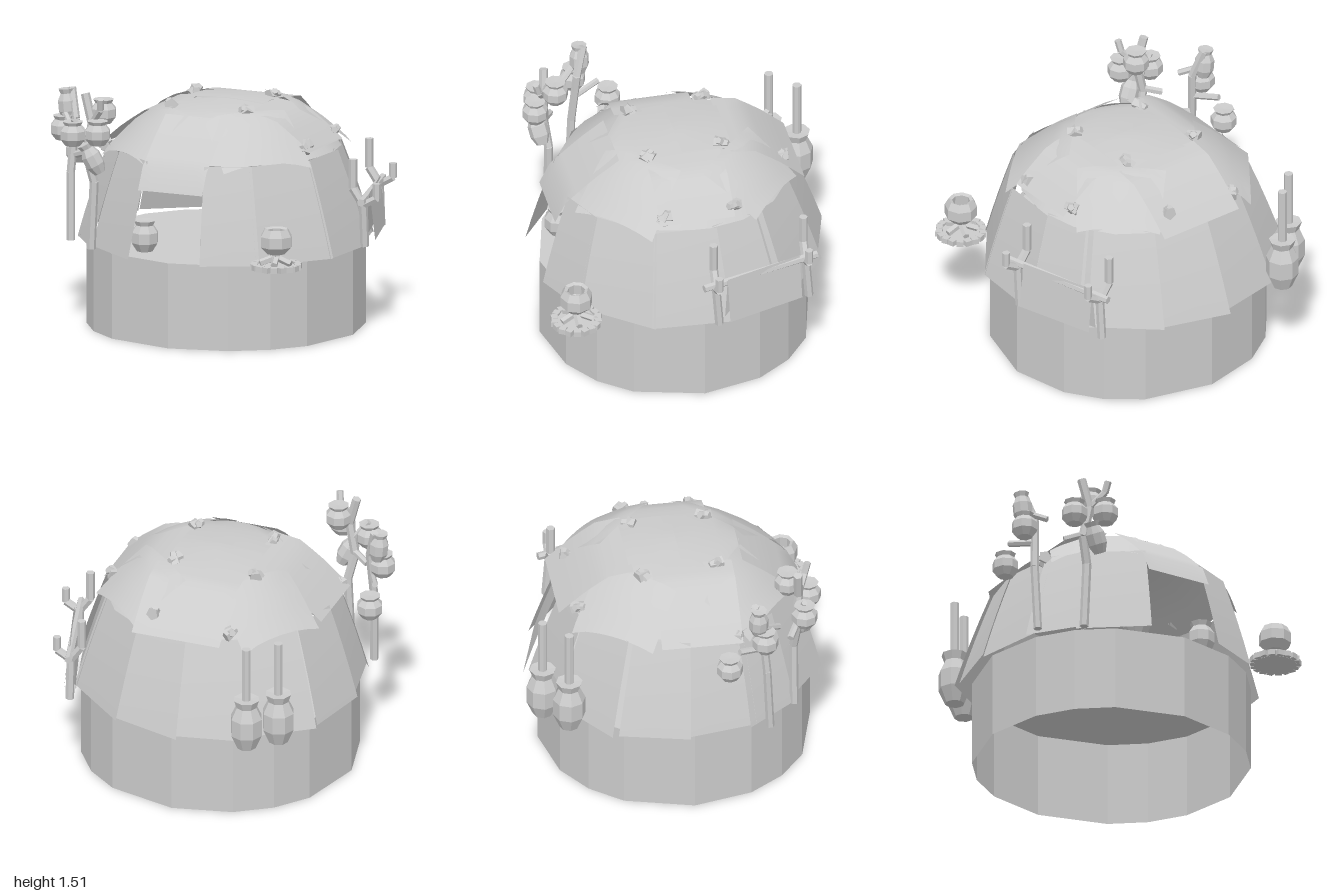
import * as THREE from 'three';

const flat = new THREE.MeshStandardMaterial({ color: 0xcccccc, flatShading: true, side: THREE.DoubleSide });
const smooth = new THREE.MeshStandardMaterial({ color: 0xcccccc, side: THREE.DoubleSide });
const V = (x, y, z) => new THREE.Vector3(x, y, z);
const lerp = THREE.MathUtils.lerp;

// Dome height at a distance from the centre
const PROFILE = [[0, 1.395], [0.25, 1.375], [0.42, 1.35], [0.58, 1.235], [0.7, 1.13], [0.78, 1.06], [0.82, 0.95], [0.95, 0.6]];
function domeY(r) {
  const i = Math.max(1, PROFILE.findIndex(p => p[0] >= r));
  const [a, b] = [PROFILE[i - 1], PROFILE[i]];
  return lerp(a[1], b[1], (r - a[0]) / (b[0] - a[0]));
}

function add(parent, name, geometry, material = flat) {
  const mesh = new THREE.Mesh(geometry, material);
  mesh.name = name;
  parent.add(mesh);
  return mesh;
}

// Grid surface from a rule (u, v) -> [x, y, z]
function patch(nu, nv, rule) {
  const g = new THREE.PlaneGeometry(1, 1, nu, nv);
  const p = g.attributes.position, uv = g.attributes.uv;
  for (let i = 0; i < p.count; i++) p.setXYZ(i, ...rule(uv.getX(i), uv.getY(i)));
  g.computeVertexNormals();
  return g;
}

// Cloth through four ground-plan corners; reach tells how it curves (dome by default)
const alongX = x => Math.abs(x);
const alongZ = (x, z) => Math.abs(z);
function sheet(parent, name, [a, b, c, d], lift, reach = Math.hypot) {
  add(parent, name, patch(6, 6, (u, v) => {
    const x = lerp(lerp(a[0], b[0], u), lerp(d[0], c[0], u), v);
    const z = lerp(lerp(a[1], b[1], u), lerp(d[1], c[1], u), v);
    return [x, domeY(reach(x, z)) + lift, z];
  }), smooth);
}

// Straight pole between two points
function pole(parent, name, a, b, r, sides = 6) {
  const m = add(parent, name, new THREE.CylinderGeometry(r, r, a.distanceTo(b), sides));
  m.position.copy(a).lerp(b, 0.5);
  m.quaternion.setFromUnitVectors(V(0, 1, 0), b.clone().sub(a).normalize());
}
function branch(parent, name, points, r) {
  const v = points.map(p => V(...p));
  for (let i = 1; i < v.length; i++) pole(parent, name, v[i - 1], v[i], r);
}

// Eight-sided jar with a narrow neck and flared lip
function jar(parent, name, [x, y, z], r, h, tilt = [0, 0, 0]) {
  const pts = [[0, 0], [0.6, 0], [1, 0.28], [1, 0.62], [0.65, 0.85], [0.82, 1], [0, 0.98]];
  const m = add(parent, name, new THREE.LatheGeometry(pts.map(p => new THREE.Vector2(p[0] * r, (p[1] - 0.5) * h)), 8));
  m.position.set(x, y, z);
  m.rotation.set(...tilt);
}

function addBase(root) {
  const group = new THREE.Group();
  group.name = 'base';
  const ring = [];
  for (let q = 0; q < 4; q++) {
    for (const deg of [0, 25.5, 43, 60]) {
      const a = THREE.MathUtils.degToRad(deg + 90 * q);
      ring.push(new THREE.Vector2(Math.sin(a) * 0.855 - 0.015, Math.cos(a) * 0.84 + 0.03));
    }
  }
  add(group, 'baseWall', patch(16, 1, (u, v) => {
    const p = ring[Math.round(u * 16) % 16];
    return [p.x, v * 0.53, p.y];
  }));
  const floor = add(group, 'floor', new THREE.ShapeGeometry(new THREE.Shape(ring)));
  floor.rotation.x = Math.PI / 2;
  floor.position.y = 0.53;
  root.add(group);
}

function addTent(root) {
  const group = new THREE.Group();
  group.name = 'tent';
  // Overlapping wall panels: start and end of each foot
  const feet = [
    [0.21, 0.9, 0.54, 0.74], [0.52, 0.75, 0.85, 0.34], [0.84, 0.36, 0.87, -0.13], [0.84, -0.1, 0.72, -0.52],
    [0.75, -0.46, 0.35, -0.81], [0.39, -0.77, -0.08, -0.91], [-0.05, -0.87, -0.5, -0.78], [-0.44, -0.75, -0.83, -0.47],
    [-0.82, -0.43, -0.92, 0], [-0.9, -0.03, -0.82, 0.42], [-0.85, 0.38, -0.62, 0.68], [-0.64, 0.62, -0.27, 0.9],
  ];
  feet.forEach(([ax, az, bx, bz]) => add(group, 'wallPanel', patch(1, 4, (u, v) => {
    const x = lerp(ax, bx, u), z = lerp(az, bz, u);
    const s = 1 - 0.18 * v - 0.03 * v * v;
    // The front leans in a little less than the back
    return [x * s, 0.535 + v * 0.585, z * s + 0.025 * v];
  }), smooth));
  // Lining beneath the roof sheets
  const lining = PROFILE.slice(0, 5).map(([r, y]) => new THREE.Vector2(r * 0.97, y - 0.02));
  add(group, 'roofLining', new THREE.LatheGeometry(lining, 16), smooth);
  // Roof sheets, lowest layer first
  sheet(group, 'sideSheetLeft', [[0.22, -0.2], [0.66, -0.2], [0.66, 0.27], [0.22, 0.27]], 0, alongX);
  sheet(group, 'sideSheetRight', [[-0.74, -0.15], [-0.25, -0.15], [-0.25, 0.35], [-0.74, 0.35]], 0, alongX);
  sheet(group, 'backSheet', [[-0.29, -0.72], [0.28, -0.72], [0.28, -0.26], [-0.29, -0.26]], 0.004, alongZ);
  sheet(group, 'doorFlap', [[-0.24, 0.42], [0.19, 0.42], [0.19, 0.82], [-0.24, 0.82]], 0.006, alongZ);
  sheet(group, 'topFrontSheet', [[-0.29, 0.03], [0.24, 0.03], [0.24, 0.43], [-0.29, 0.43]], 0.008);
  sheet(group, 'topBackSheet', [[-0.29, -0.28], [0.24, -0.28], [0.24, 0.04], [-0.29, 0.04]], 0.015);
  sheet(group, 'cornerSheet', [[0.4, 0.08], [0.7, 0.33], [0.29, 0.72], [0.04, 0.47]], 0.02);
  sheet(group, 'cornerSheet', [[-0.53, 0.14], [-0.08, 0.43], [-0.25, 0.72], [-0.68, 0.4]], 0.02);
  sheet(group, 'cornerSheet', [[-0.43, -0.66], [-0.18, -0.47], [-0.47, -0.02], [-0.75, -0.21]], 0.02);
  sheet(group, 'cornerSheet', [[0.28, -0.67], [0.66, -0.33], [0.44, -0.05], [0.04, -0.42]], 0.02);
  // Knots where the sheets are tied: two crossed stubs each
  const knots = [[-0.32, -0.6], [0.17, -0.6], [-0.33, -0.21], [0.19, -0.22], [-0.28, 0.25],
    [0.22, 0.25], [0.61, 0.23], [0.6, -0.2], [-0.68, 0.31]];
  knots.forEach(([x, z], i) => {
    for (const side of [-1, 1]) {
      const knot = add(group, 'knot', new THREE.CylinderGeometry(0.022, 0.042, 0.085, 5));
      knot.position.set(x, domeY(Math.hypot(x, z)) + 0.02, z);
      knot.rotation.set(1.1 * side, i * 1.3, 0.6);
    }
  });
  root.add(group);
}

// Forked posts, bar and the hide drying on it
function addRack(root) {
  const rack = new THREE.Group();
  rack.name = 'dryingRack';
  for (const [x, z] of [[0.88, -0.03], [0.71, -0.63]]) {
    branch(rack, 'rackPost', [[x, 0.54, z - 0.02], [x, 0.8, z], [x - 0.07, 0.9, z], [x - 0.07, 1.08, z]], 0.027);
    branch(rack, 'rackFork', [[x, 0.8, z], [x + 0.09, 0.85, z], [x + 0.09, 0.94, z]], 0.025);
  }
  branch(rack, 'rackBar', [[0.9, 0.83, 0.05], [0.7, 0.83, -0.7]], 0.024);
  add(rack, 'hide', patch(1, 4, (u, v) => {
    const t = (v - 0.5) * 2, out = t * 0.033;
    return [lerp(0.89, 0.735, u) + out, 0.865 - Math.abs(t) * 0.295, lerp(-0.1, -0.585, u) - out * 0.28];
  }));
  root.add(rack);
}

// Branching poles hung with jars
function addJarTrees(root) {
  const trees = new THREE.Group();
  trees.name = 'jarTrees';
  branch(trees, 'frontPole', [[-0.62, 0.53, 0.68], [-0.6, 0.95, 0.68], [-0.64, 1.12, 0.7], [-0.6, 1.32, 0.71], [-0.65, 1.5, 0.7]], 0.028);
  branch(trees, 'frontPoleFork', [[-0.6, 1.32, 0.71], [-0.52, 1.42, 0.76], [-0.51, 1.49, 0.78]], 0.022);
  branch(trees, 'frontPoleSide', [[-0.63, 1.14, 0.7], [-0.74, 1.1, 0.64]], 0.022);
  branch(trees, 'frontPoleSide', [[-0.62, 1.22, 0.7], [-0.72, 1.34, 0.73]], 0.018);
  branch(trees, 'sidePole', [[-0.84, 0.53, 0.5], [-0.85, 0.95, 0.48], [-0.83, 1.28, 0.45], [-0.88, 1.46, 0.4]], 0.026);
  branch(trees, 'sidePoleFork', [[-0.84, 1.12, 0.47], [-0.92, 1.16, 0.3]], 0.02);
  branch(trees, 'sidePoleFork', [[-0.81, 1.25, 0.56], [-0.94, 1.34, 0.41]], 0.02);
  const jars = [[-0.55, 1.39, 0.65], [-0.53, 1.28, 0.78], [-0.72, 1.25, 0.73], [-0.91, 1.04, 0.24], [-0.91, 1.22, 0.46]];
  jars.forEach(p => jar(trees, 'hangingJar', p, 0.08, 0.15));
  jar(trees, 'tiltedJar', [-0.58, 1.11, 0.75], 0.06, 0.2, [0.2, 0, 0.45]);
  jar(trees, 'topJar', [-0.9, 1.36, 0.42], 0.06, 0.19, [0, 0, 0.1]);
  root.add(trees);
}

// Hearth of stones and logs below a cooking pot
function addHearth(root) {
  const hearth = new THREE.Group();
  hearth.name = 'hearth';
  hearth.position.set(0.68, 0.555, 0.8);
  add(hearth, 'hearthBed', new THREE.CylinderGeometry(0.13, 0.13, 0.02, 16));
  for (let i = 0; i < 18; i++) {
    const a = i / 18 * Math.PI * 2;
    const stone = add(hearth, 'hearthStone', new THREE.BoxGeometry(0.042, 0.034, 0.04));
    stone.position.set(Math.sin(a) * 0.135, 0.008, Math.cos(a) * 0.135);
    stone.rotation.y = a + (i % 3 - 1) * 0.3;
  }
  for (let i = 0; i < 5; i++) {
    const a = i / 5 * Math.PI * 2 + 0.3;
    pole(hearth, 'log', V(Math.sin(a) * 0.1, 0.03, Math.cos(a) * 0.1), V(-Math.sin(a) * 0.03, 0.075, -Math.cos(a) * 0.03), 0.022, 5);
  }
  const pts = [[0, 0.085], [0.055, 0.085], [0.1, 0.13], [0.1, 0.195], [0.075, 0.24], [0.055, 0.23], [0.06, 0.16], [0, 0.13]];
  add(hearth, 'cookingPot', new THREE.LatheGeometry(pts.map(p => new THREE.Vector2(...p)), 8));
  root.add(hearth);
}

export function createModel() {
  const root = new THREE.Group();
  root.name = 'tentOnBase';
  addBase(root);
  addTent(root);
  addRack(root);
  addJarTrees(root);
  addHearth(root);
  // Tall vases with sticks at the back
  for (const [x, z] of [[-0.52, -0.855], [-0.675, -0.715]]) {
    jar(root, 'backVase', [x, 0.71, z], 0.1, 0.33);
    pole(root, 'vaseStick', V(x, 0.75, z), V(x, 1.22, z), 0.028, 8);
  }
  // Jars just inside the doorway
  for (const x of [-0.25, 0.21]) jar(root, 'doorJar', [x, 0.65, 0.7], 0.085, 0.19);
  return root;
}
